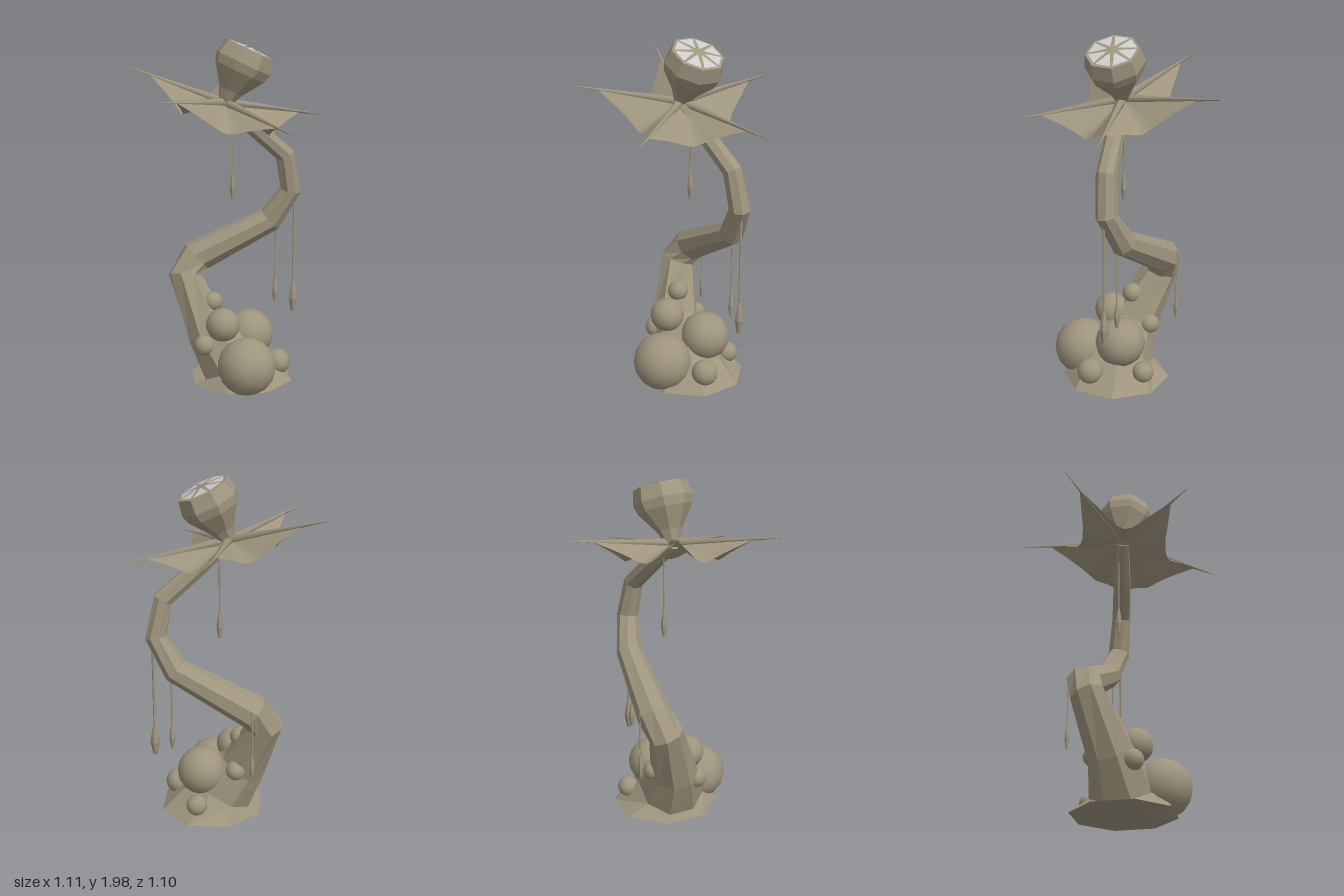
import * as THREE from 'three';

const V = (x, y, z) => new THREE.Vector3(x, y, z);
const bark = new THREE.MeshStandardMaterial({ color: 0x9f957e, flatShading: true });
const barkSmooth = new THREE.MeshStandardMaterial({ color: 0x9f957e });
const skin = new THREE.MeshStandardMaterial({ color: 0x9f957e, side: THREE.DoubleSide });
const pane = new THREE.MeshStandardMaterial({ color: 0xcccccc, flatShading: true, side: THREE.DoubleSide });

function add(parent, name, geometry, material) {
  const mesh = new THREE.Mesh(geometry, material);
  mesh.name = name;
  parent.add(mesh);
  return mesh;
}

// Skin of eight-sided rings, each given as [x, y, z, radius]
function loft(rings, sides = 8) {
  const centres = rings.map(r => V(r[0], r[1], r[2]));
  const pos = [], index = [];
  rings.forEach((ring, i) => {
    const c = centres[i];
    const t = V(0, 1, 0);
    if (i > 0) {
      const before = c.clone().sub(centres[i - 1]).normalize();
      const after = centres[Math.min(i + 1, rings.length - 1)].clone().sub(c).normalize();
      t.copy(before.add(after).normalize());
    }
    const u = V(0.7, 0, -0.7);
    u.addScaledVector(t, -u.dot(t)).normalize();
    const v = t.clone().cross(u);
    for (let j = 0; j < sides; j++) {
      const a = (j + 0.5) / sides * Math.PI * 2;
      const p = c.clone().addScaledVector(u, Math.cos(a) * ring[3]).addScaledVector(v, Math.sin(a) * ring[3]);
      pos.push(p.x, p.y, p.z);
      if (i + 1 < rings.length) {
        const k = i * sides + j, l = i * sides + (j + 1) % sides;
        index.push(k, l, l + sides, k, l + sides, k + sides);
      }
    }
  });
  // End caps
  const last = (rings.length - 1) * sides;
  for (let j = 1; j < sides - 1; j++) index.push(0, j + 1, j, last, last + j, last + j + 1);
  const g = new THREE.BufferGeometry();
  g.setAttribute('position', new THREE.Float32BufferAttribute(pos, 3));
  g.setIndex(index);
  g.computeVertexNormals();
  return g;
}

// Star-shaped collar: five spines with drooping webs between them
function makeCollar(centre) {
  const collar = new THREE.Group();
  collar.name = 'collar';
  const tips = [
    V(-0.555, 1.72, 0.02), V(-0.19, 1.83, -0.55), V(0.505, 1.72, -0.42),
    V(0.555, 1.54, 0.285), V(-0.10, 1.54, 0.545),
  ];
  tips.forEach((tip, i) => {
    const along = tip.clone().sub(centre);
    const spine = add(collar, 'spine', new THREE.CylinderGeometry(0.0008, 0.026, along.length(), 6), barkSmooth);
    spine.position.copy(centre).addScaledVector(along, 0.5);
    spine.quaternion.setFromUnitVectors(V(0, 1, 0), along.clone().normalize());

    const a = along.clone().normalize();
    const b = tips[(i + 1) % 5].clone().sub(centre).normalize();
    const angle = a.angleTo(b);
    const web = new THREE.PlaneGeometry(1, 1, 8, 3);
    const p = web.attributes.position;
    for (let k = 0; k < p.count; k++) {
      const f = p.getX(k) + 0.5, s = p.getY(k) + 0.5, m = Math.abs(2 * f - 1);
      const reach = 0.265 + 0.19 * m ** 2.5;
      const q = a.clone().multiplyScalar(Math.sin((1 - f) * angle)).addScaledVector(b, Math.sin(f * angle));
      q.normalize().multiplyScalar(reach * s).add(centre);
      q.y -= 0.12 * (1 - m ** 1.7) * s;
      p.setXYZ(k, q.x, q.y, q.z);
    }
    web.computeVertexNormals();
    add(collar, 'web', web, skin);
  });
  return collar;
}

// Tilted eight-sided bulb, closed by a lid with wedge panes
function makeBulb(centre) {
  const bulb = new THREE.Group();
  bulb.name = 'bulb';
  bulb.position.copy(centre);
  bulb.quaternion.setFromUnitVectors(V(0, 1, 0), V(0.105, 0.29, 0.09).normalize());
  const profile = [[0, -0.01], [0.04, 0], [0.07, 0.07], [0.15, 0.185], [0.165, 0.235], [0.147, 0.315], [0.135, 0.313], [0, 0.325]];
  add(bulb, 'pod', new THREE.LatheGeometry(profile.map(q => new THREE.Vector2(...q)), 8, Math.PI / 8), bark);
  for (let i = 0; i < 8; i++) {
    const wedge = new THREE.BufferGeometry();
    const w = 0.043;
    wedge.setAttribute('position', new THREE.Float32BufferAttribute(
      [0, 0.329, 0.03, -w, 0.319, 0.122, w, 0.319, 0.122], 3));
    wedge.computeVertexNormals();
    add(bulb, 'pane', wedge, pane).rotation.y = i * Math.PI / 4;
  }
  return bulb;
}

export function createModel() {
  const model = new THREE.Group();
  model.name = 'plant';

  // Winding trunk with flared foot
  add(model, 'trunk', loft([
    [0.115, 0.04, 0.04, 0.3], [0.06, 0.15, 0.0, 0.19], [0.0, 0.32, -0.11, 0.135],
    [-0.01, 0.62, -0.27, 0.1], [0.065, 0.72, -0.25, 0.098], [0.34, 0.94, 0.075, 0.074],
    [0.39, 1.12, 0.18, 0.061], [0.345, 1.33, 0.168, 0.055], [0.17, 1.51, 0.06, 0.05],
    [0.035, 1.64, -0.02, 0.035],
  ]), bark);

  // Round growths around the foot: x, y, z, radius
  for (const [x, y, z, r] of [
    [-0.03, 0.175, 0.19, 0.165], [0.19, 0.28, 0.04, 0.14], [-0.03, 0.385, 0.02, 0.097],
    [0.015, 0.49, -0.09, 0.058], [0.215, 0.14, 0.225, 0.074], [0.31, 0.135, -0.055, 0.06],
    [0.11, 0.33, -0.16, 0.056], [-0.11, 0.27, -0.05, 0.06],
  ]) add(model, 'growth', new THREE.IcosahedronGeometry(r, 2), barkSmooth).position.set(x, y, z);

  // Hanging seeds on strings: x, z, seed bottom, seed height, radius, string top
  for (const [x, z, y, h, r, top] of [
    [0.095, -0.01, 1.09, 0.16, 0.018, 1.58], [0.4, 0.2, 0.39, 0.19, 0.027, 1.12],
    [0.345, 0.11, 0.445, 0.155, 0.018, 0.93], [0.125, -0.315, 0.35, 0.15, 0.015, 0.76],
  ]) {
    const s = r * 0.27;
    const outline = [[0, y], [r * 0.45, y + 0.003], [r, y + h * 0.42], [r * 0.85, y + h * 0.62], [s, y + h], [s, top]];
    add(model, 'hangingSeed', new THREE.LatheGeometry(outline.map(q => new THREE.Vector2(...q)), 6), bark)
      .position.set(x, 0, z);
  }

  const head = V(0.04, 1.645, -0.02);
  model.add(makeCollar(head), makeBulb(head));
  return model;
}
